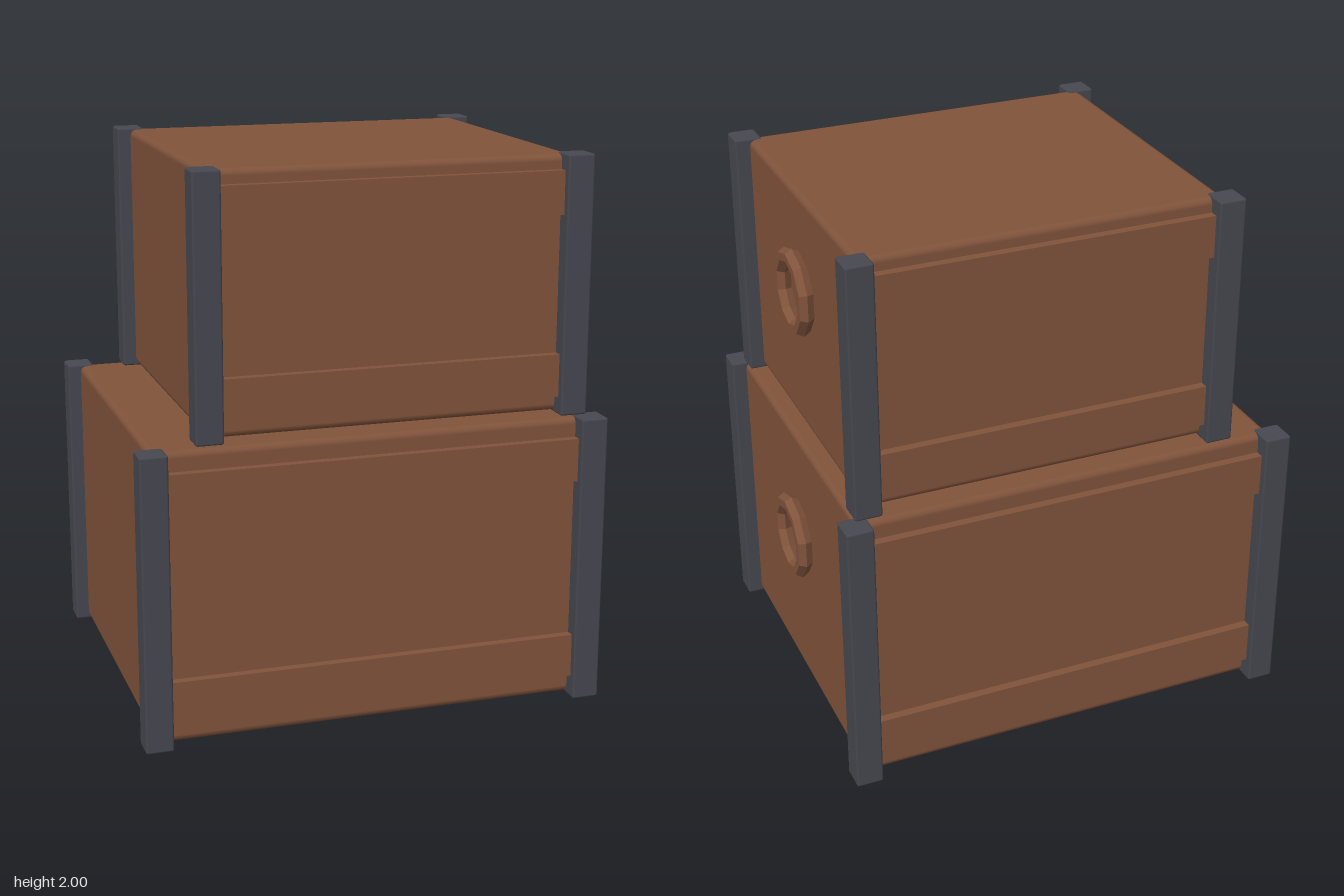
import * as THREE from 'three';
import { RoundedBoxGeometry } from 'three/addons/geometries/RoundedBoxGeometry.js';

const wood = new THREE.MeshStandardMaterial({ color: 0x80533b });
wood.name = 'brown wood';
const iron = new THREE.MeshStandardMaterial({ color: 0x474850 });
iron.name = 'dark iron';

// Add a named box given by its minimum and maximum corners
function box(parent, name, material, min, max, bevel, segments = 2) {
  const size = max.map((v, i) => v - min[i]);
  const geometry = bevel
    ? new RoundedBoxGeometry(...size, segments, bevel)
    : new THREE.BoxGeometry(...size);
  const mesh = new THREE.Mesh(geometry, material);
  mesh.name = name;
  mesh.position.set(...min.map((v, i) => (v + max[i]) / 2));
  parent.add(mesh);
  return mesh;
}

// One crate: bevelled body, raised slats front and back, four corner posts, ring handle
function makeCrate(name, c) {
  const crate = new THREE.Group();
  crate.name = name;
  const [x0, x1] = c.x;
  const [y0, y1] = c.y;

  box(crate, 'body', wood,
    [x0 + 0.05, y0 + 0.006, -c.z + 0.06],
    [x1 - 0.055, y1 - 0.006, c.z - 0.06], 0.025);

  for (const side of [-1, 1]) {
    const inner = side * (c.z - 0.09), outer = side * (c.z - 0.028);
    for (const [low, high] of c.slats) {
      box(crate, side > 0 ? 'frontSlat' : 'backSlat', wood,
        [x0 + 0.06, low, Math.min(inner, outer)],
        [x1 - 0.06, high, Math.max(inner, outer)]);
    }
    // Corner posts
    for (const px of [x0, x1 - 0.1]) {
      const pz = side > 0 ? c.z - 0.1 : -c.z;
      box(crate, 'cornerPost', iron, [px, y0, pz], [px + 0.1, y1, pz + 0.1], 0.008, 1);
    }
  }

  // Ten-sided ring on the left wall
  const geometry = new THREE.TorusGeometry(0.133, 0.03, 6, 10).toNonIndexed();
  geometry.rotateZ(Math.PI / 2);
  geometry.rotateY(Math.PI / 2);
  geometry.computeVertexNormals();
  const handle = new THREE.Mesh(geometry, wood);
  handle.name = 'ringHandle';
  handle.position.set(x1 - 0.026, c.handleY, 0);
  crate.add(handle);
  return crate;
}

export function createModel() {
  const model = new THREE.Group();
  model.name = 'stackedCrates';
  model.add(makeCrate('lowerCrate', {
    x: [-0.85, 0.85], y: [0, 1.067], z: 0.718,
    slats: [[0.083, 0.243], [0.832, 0.99]], handleY: 0.645,
  }));
  model.add(makeCrate('upperCrate', {
    x: [-0.64, 0.795], y: [1.067, 2], z: 0.65,
    slats: [[1.132, 1.288], [1.787, 1.942]], handleY: 1.633,
  }));
  return model;
}
